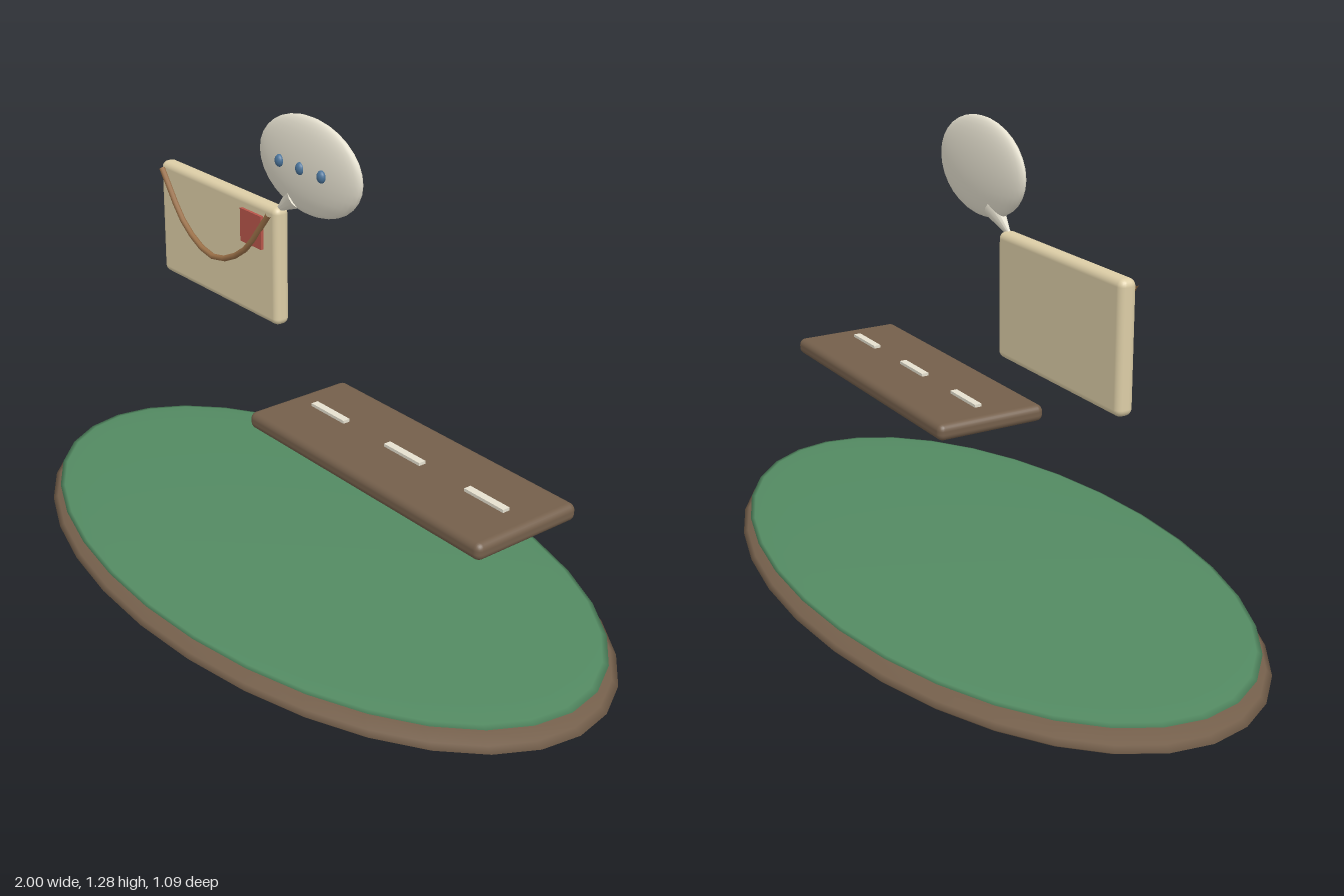
import * as THREE from 'three';
import { RoundedBoxGeometry } from 'three/addons/geometries/RoundedBoxGeometry.js';

const material = (color) => new THREE.MeshStandardMaterial({ color });
const brown = material(0x745f4b);
const green = material(0x538a62);
const cream = material(0xdccda6);
const ivory = material(0xe6e1d0);
const red = material(0xb8564a);
const cord = material(0x9a7048);
const blue = material(0x4a7399);

function add(parent, name, geometry, mat, x = 0, y = 0, z = 0) {
  const mesh = new THREE.Mesh(geometry, mat);
  mesh.name = name;
  mesh.position.set(x, y, z);
  parent.add(mesh);
  return mesh;
}

const ellipsoid = (rx, ry, rz, w = 32, h = 16) =>
  new THREE.SphereGeometry(1, w, h).scale(rx, ry, rz);

function group(parent, name) {
  const g = new THREE.Group();
  g.name = name;
  parent.add(g);
  return g;
}

export function createModel() {
  const model = new THREE.Group();
  model.name = 'floatingIsland';

  // Flattened ground: earth lens with a thin grass lens on top
  const island = group(model, 'island');
  add(island, 'earth', ellipsoid(1, 0.057, 0.545), brown, 0, 0.058, 0);
  add(island, 'grass', ellipsoid(0.97, 0.018, 0.525), green, 0, 0.105, 0);

  // Hovering road slab with three lane dashes
  const road = group(model, 'road');
  add(road, 'roadSlab', new RoundedBoxGeometry(0.855, 0.045, 0.314, 3, 0.018), brown, 0.3725, 0.4975, 0);
  for (const x of [0.085, 0.3725, 0.66]) {
    add(road, 'laneDash', new THREE.BoxGeometry(0.13, 0.012, 0.02), ivory, x, 0.522, 0);
  }

  // Envelope with sagging flap line and stamp
  const envelope = group(model, 'envelope');
  add(envelope, 'envelopeBody', new RoundedBoxGeometry(0.525, 0.322, 0.046, 3, 0.018), cream, -0.3725, 0.861, 0);
  const flap = new THREE.CatmullRomCurve3([
    [-0.615, 1.005, 0.03], [-0.5, 0.871, 0.034], [-0.3725, 0.822, 0.037],
    [-0.245, 0.871, 0.034], [-0.13, 1.005, 0.03],
  ].map((p) => new THREE.Vector3(...p)));
  add(envelope, 'flapLine', new THREE.TubeGeometry(flap, 12, 0.008, 8), cord);
  add(envelope, 'stamp', new THREE.BoxGeometry(0.09, 0.09, 0.008), red, -0.207, 0.946, 0.028);

  // Speech bubble with pointed tail and three dots
  const bubble = group(model, 'speechBubble');
  add(bubble, 'bubbleBody', ellipsoid(0.2, 0.125, 0.031), ivory, 0, 1.16, 0);
  const tip = new THREE.Vector3(-0.145, 1.003, 0);
  const root = new THREE.Vector3(-0.055, 1.068, 0);
  const axis = tip.clone().sub(root);
  const tail = add(bubble, 'bubbleTail', new THREE.ConeGeometry(0.032, axis.length(), 12), ivory);
  tail.position.copy(root).addScaledVector(axis, 0.5);
  tail.quaternion.setFromUnitVectors(new THREE.Vector3(0, 1, 0), axis.normalize());
  tail.scale.z = 0.75;
  for (const x of [-0.083, 0, 0.083]) {
    add(bubble, 'bubbleDot', ellipsoid(0.013, 0.016, 0.011, 16, 10), blue, x, 1.16, 0.031);
  }

  return model;
}
